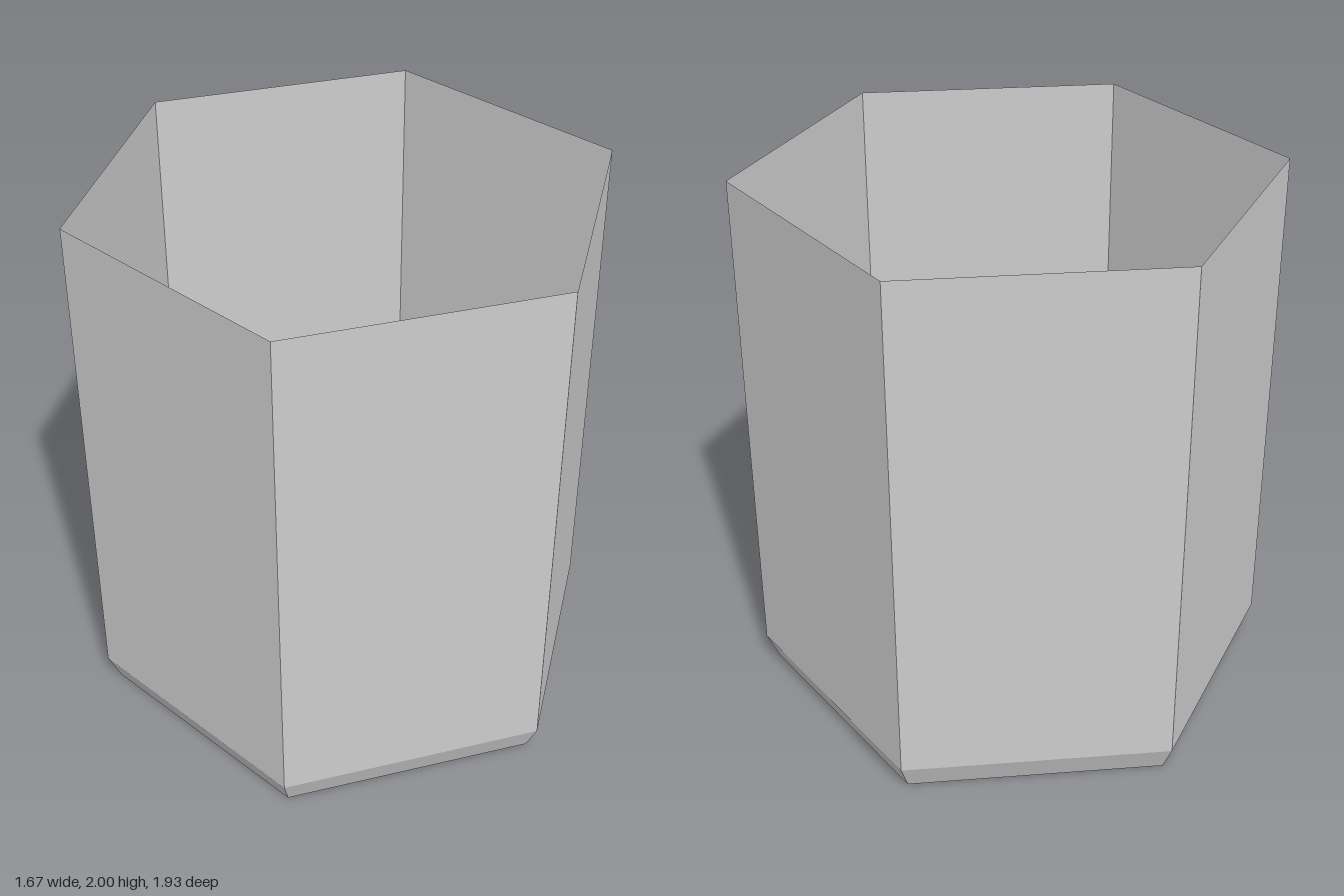
import * as THREE from 'three';

const SIDES = 6;
const TOP = 2, BEVEL = 0.1;
const WALL_R = 0.967, FLOOR_R = 0.922;

export function createModel() {
  const group = new THREE.Group();
  group.name = 'hexagonalCup';

  const grey = new THREE.MeshStandardMaterial({ color: 0xcccccc, flatShading: true, side: THREE.DoubleSide });
  grey.name = 'light grey';

  const add = (name, geometry, y) => {
    const mesh = new THREE.Mesh(geometry, grey);
    mesh.name = name;
    mesh.position.y = y;
    group.add(mesh);
  };

  // Thin open six-sided wall, corners on the z axis
  const wallHeight = TOP - BEVEL;
  add('wall', new THREE.CylinderGeometry(WALL_R, WALL_R, wallHeight, SIDES, 1, true), BEVEL + wallHeight / 2);

  // Sloped band narrowing to the floor
  add('bevel', new THREE.CylinderGeometry(WALL_R, FLOOR_R, BEVEL, SIDES, 1, true), BEVEL / 2);

  // Single-sheet floor, seen from inside and below
  const floor = new THREE.CircleGeometry(FLOOR_R, SIDES, Math.PI / 2);
  floor.rotateX(Math.PI / 2);
  add('floor', floor, 0);

  return group;
}
